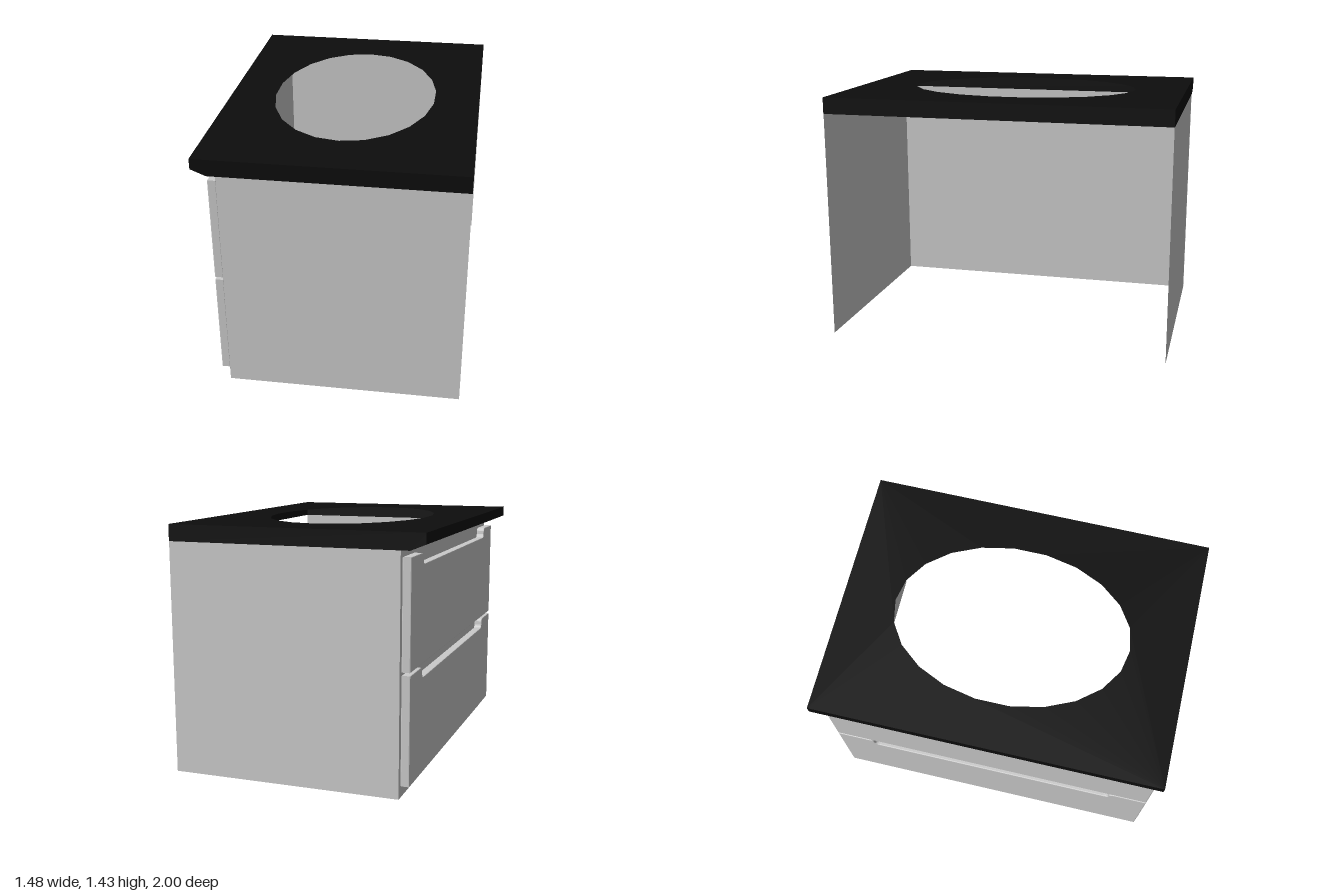
import * as THREE from 'three';

const grey = new THREE.MeshStandardMaterial({ color: 0xcccccc, side: THREE.DoubleSide, flatShading: true });
const black = new THREE.MeshStandardMaterial({ color: 0x0d0d0d, side: THREE.DoubleSide, flatShading: true });

const X0 = -0.74, X1 = 0.74, FACE = -0.605, TOP = 1.435, BODY = 1.34;

function add(parent, name, geometry, material) {
  const mesh = new THREE.Mesh(geometry, material);
  mesh.name = name;
  parent.add(mesh);
  return mesh;
}

// Drawer front with a rounded finger cutout in its top edge, drawn in (z, y)
function drawerGeometry(bottom, top) {
  const w = 0.98, c = 0.75, d = 0.062, r = 0.03;
  const s = new THREE.Shape();
  s.moveTo(-w, bottom);
  s.lineTo(w, bottom);
  s.lineTo(w, top);
  s.lineTo(c + r, top);
  s.quadraticCurveTo(c, top, c, top - r);
  s.quadraticCurveTo(c, top - d, c - r, top - d);
  s.lineTo(-c + r, top - d);
  s.quadraticCurveTo(-c, top - d, -c, top - r);
  s.quadraticCurveTo(-c, top, -c - r, top);
  s.lineTo(-w, top);
  s.closePath();
  const b = 0.005;
  return new THREE.ExtrudeGeometry(s, {
    depth: 0.04, bevelEnabled: true, bevelSize: b, bevelThickness: b,
    bevelOffset: -b, bevelSegments: 2, curveSegments: 5,
  }).translate(0, 0, b).rotateY(-Math.PI / 2);
}

export function createModel() {
  const model = new THREE.Group();
  model.name = 'vanityCabinet';

  // Thin side panels and the panel behind the drawers; the +x side stays open
  for (const side of [1, -1]) {
    const panel = add(model, side > 0 ? 'frontSidePanel' : 'backSidePanel',
      new THREE.PlaneGeometry(X1 - FACE, BODY), grey);
    panel.position.set((X1 + FACE) / 2, BODY / 2, side * 0.999);
    if (side < 0) panel.rotation.y = Math.PI;
  }
  const carcass = add(model, 'drawerBackPanel', new THREE.PlaneGeometry(2, BODY), grey);
  carcass.position.set(FACE, BODY / 2, 0);
  carcass.rotation.y = -Math.PI / 2;

  // Two drawer fronts
  [[0.07, 0.68], [0.697, 1.305]].forEach(([bottom, top], i) => {
    const drawer = add(model, i ? 'upperDrawer' : 'lowerDrawer', drawerGeometry(bottom, top), grey);
    drawer.position.x = FACE - 0.003;
  });

  // Countertop: a hollow shell with an oval basin opening
  const counter = new THREE.Group();
  counter.name = 'countertop';
  model.add(counter);

  const sheet = new THREE.Shape();
  sheet.moveTo(X0, -1);
  sheet.lineTo(X1, -1);
  sheet.lineTo(X1, 1);
  sheet.lineTo(X0, 1);
  sheet.closePath();
  const oval = [];
  for (let i = 0; i < 22; i++) {
    const a = (i / 22) * Math.PI * 2;
    oval.push(new THREE.Vector2(0.48 * Math.sin(a), 0.015 + 0.685 * Math.cos(a)));
  }
  sheet.holes.push(new THREE.Path(oval));
  add(counter, 'counterSurface', new THREE.ShapeGeometry(sheet).rotateX(-Math.PI / 2).translate(0, TOP, 0), black);

  // End skirts follow the chamfered profile
  const profile = [[X0, TOP], [X0, 1.375], [-0.655, BODY], [X1, BODY], [X1, TOP]]
    .map(([x, y]) => new THREE.Vector2(x, y));
  for (const side of [1, -1]) {
    const skirt = add(counter, side > 0 ? 'frontSkirt' : 'backSkirt',
      new THREE.ShapeGeometry(new THREE.Shape(profile)), black);
    skirt.position.z = side;
  }

  // Long edges: drawer-side lip, chamfer, short underside strip, open-side skirt
  const strips = [
    ['drawerSideLip', profile[0], profile[1]],
    ['chamfer', profile[1], profile[2]],
    ['lipUnderside', profile[2], new THREE.Vector2(FACE, BODY)],
    ['openSideSkirt', profile[3], profile[4]],
  ];
  for (const [name, a, b] of strips) {
    const g = new THREE.BufferGeometry();
    g.setAttribute('position', new THREE.Float32BufferAttribute(
      [a.x, a.y, -1, b.x, b.y, -1, b.x, b.y, 1, a.x, a.y, 1], 3));
    g.setIndex([0, 1, 2, 0, 2, 3]);
    g.computeVertexNormals();
    add(counter, name, g, black);
  }
  return model;
}
